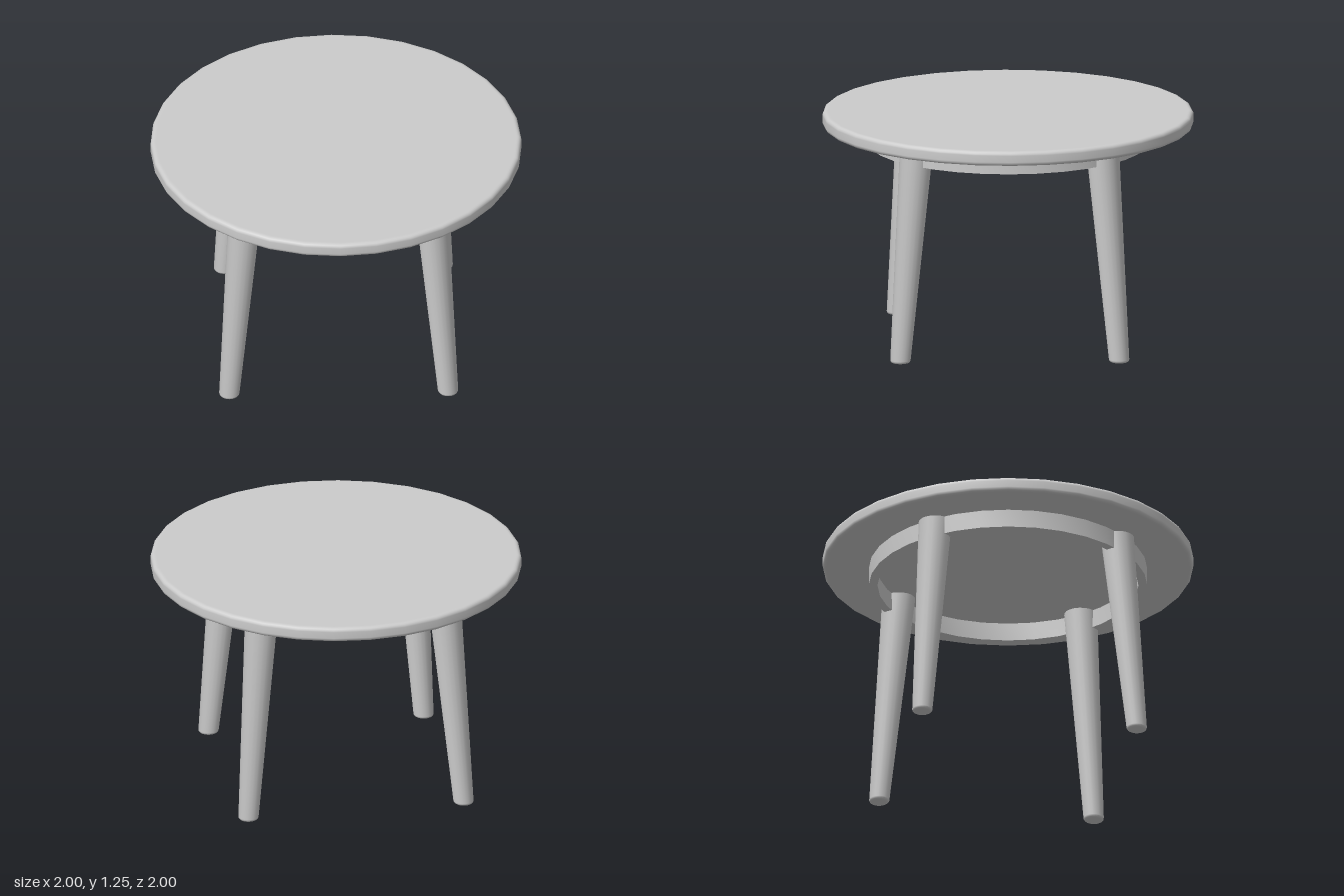
import * as THREE from 'three';
import { toCreasedNormals } from 'three/addons/utils/BufferGeometryUtils.js';

const material = new THREE.MeshStandardMaterial({ color: 0xcccccc });
const SIDES = 32;
const TOP_Y = 1.255, UNDER_Y = 1.175, APRON_Y = 1.075;

// Quarter-round profile points about (cx, cy), from angle a to a + 90 degrees
function roundedCorner(cx, cy, r, a, steps = 4) {
  return Array.from({ length: steps + 1 }, (_, i) => {
    const t = a + (i / steps) * Math.PI / 2;
    return new THREE.Vector2(cx + r * Math.cos(t), cy + r * Math.sin(t));
  });
}

function addMesh(parent, name, geometry) {
  const mesh = new THREE.Mesh(geometry, material);
  mesh.name = name;
  parent.add(mesh);
  return mesh;
}

// Round top with softened rims; extra points near the rim keep the faces flat
function tabletopGeometry() {
  const r = 0.022;
  return new THREE.LatheGeometry([
    new THREE.Vector2(0, UNDER_Y),
    new THREE.Vector2(0.97, UNDER_Y),
    ...roundedCorner(1 - r, UNDER_Y + r, r, -Math.PI / 2),
    ...roundedCorner(1 - r, TOP_Y - r, r, 0),
    new THREE.Vector2(0.97, TOP_Y),
    new THREE.Vector2(0, TOP_Y),
  ], SIDES);
}

// Thin ring under the top
function apronGeometry() {
  const inner = 0.703, outer = 0.75, top = UNDER_Y + 0.005;
  const profile = [[inner, top], [inner, APRON_Y], [outer, APRON_Y], [outer, top]];
  const ring = new THREE.LatheGeometry(profile.map(([x, y]) => new THREE.Vector2(x, y)), SIDES);
  return toCreasedNormals(ring, 0.6);
}

// Tapered leg with a rounded foot, leaning outward from (0.5, 0.5) to (0.59, 0.59)
function legGeometry() {
  const foot = 0.055, r = 0.015, top = UNDER_Y + 0.003;
  const leg = new THREE.LatheGeometry([
    new THREE.Vector2(0, 0),
    new THREE.Vector2(foot - r - 0.004, 0),
    ...roundedCorner(foot - r, r, r, -Math.PI / 2),
    new THREE.Vector2(0.09, top),
  ], 20);
  const p = leg.attributes.position;
  for (let i = 0; i < p.count; i++) {
    const shift = THREE.MathUtils.lerp(0.59, 0.5, p.getY(i) / top);
    p.setXYZ(i, p.getX(i) + shift, p.getY(i), p.getZ(i) + shift);
  }
  return leg;
}

export function createModel() {
  const table = new THREE.Group();
  table.name = 'roundTable';
  addMesh(table, 'tabletop', tabletopGeometry());
  addMesh(table, 'apron', apronGeometry());

  // Four identical legs, a quarter turn apart
  const leg = legGeometry();
  ['frontLeftLeg', 'backLeftLeg', 'backRightLeg', 'frontRightLeg'].forEach((name, i) => {
    addMesh(table, name, leg).rotation.y = i * Math.PI / 2;
  });
  return table;
}
